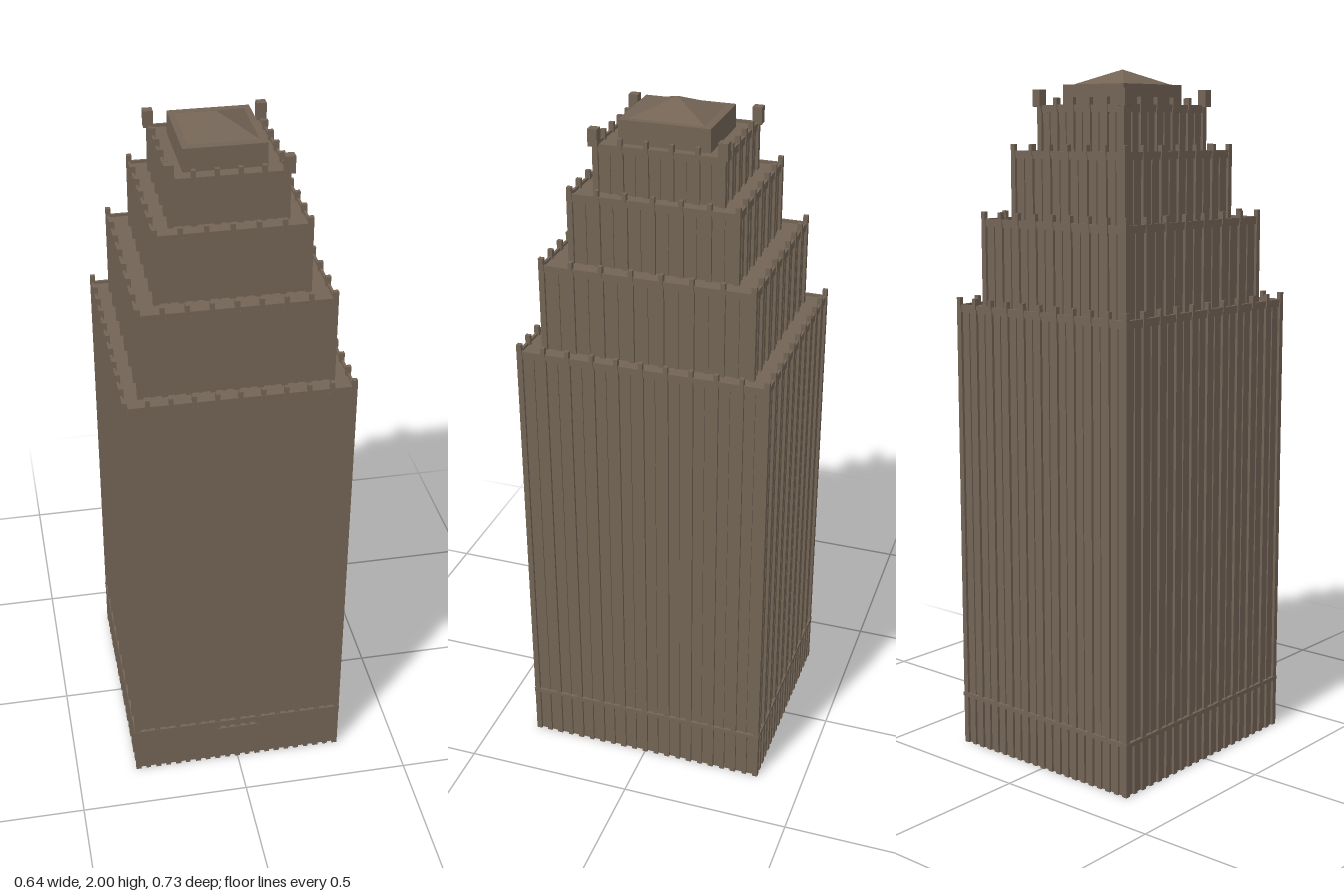
import * as THREE from 'three';

const stone = new THREE.MeshStandardMaterial({ color: 0x736455 });
stone.name = 'brown stone';

export function createModel() {
  const tower = new THREE.Group();
  tower.name = 'steppedTower';

  // box given by its centre in plan and its bottom and top heights
  function block(parent, name, w, d, y0, y1, x = 0, z = 0) {
    const mesh = new THREE.Mesh(new THREE.BoxGeometry(w, y1 - y0, d), stone);
    mesh.position.set(x, (y0 + y1) / 2, z);
    mesh.name = name;
    parent.add(mesh);
  }

  // ribs along all four sides, outer faces flush with hx and hz
  function ribs(parent, name, hx, hz, nx, nz, y0, y1, width, depth, shift = 0) {
    const stepX = (2 * hx - width) / nx, stepZ = (2 * hz - width) / nz;
    for (let i = 0; i <= nx - (shift ? 1 : 0); i++) {
      const x = -hx + width / 2 + (i + shift) * stepX;
      for (const s of [-1, 1]) block(parent, name, width, depth, y0, y1, x, s * (hz - depth / 2));
    }
    for (let i = 0; i <= nz - (shift ? 1 : 0); i++) {
      const z = -hz + width / 2 + (i + shift) * stepZ;
      for (const s of [-1, 1]) block(parent, name, depth, width, y0, y1, s * (hx - depth / 2), z);
    }
  }

  // thin parapet ring around a roof
  function parapet(parent, hx, hz, y0, y1, t = 0.007) {
    for (const s of [-1, 1]) {
      block(parent, 'parapet', 2 * hx, t, y0, y1, 0, s * (hz - t / 2));
      block(parent, 'parapet', t, 2 * (hz - t), y0, y1, s * (hx - t / 2), 0);
    }
  }

  // stacked tiers: half width, half depth, bottom, roof, rib intervals, rib top
  const tiers = [
    ['mainShaft', 0.32, 0.363, 0, 1.335, 10, 10, 1.355],
    ['lowerSetback', 0.271, 0.307, 1.325, 1.58, 8, 7, 1.6],
    ['middleSetback', 0.213, 0.242, 1.57, 1.772, 6, 6, 1.79],
    ['upperSetback', 0.162, 0.185, 1.762, 1.9, 5, 5, 1.92],
  ];
  for (const [name, hx, hz, y0, roof, nx, nz, top] of tiers) {
    const tier = new THREE.Group();
    tier.name = name;
    tower.add(tier);
    const inset = 0.008;
    block(tier, 'wall', 2 * (hx - inset), 2 * (hz - inset), y0, roof - 0.008);
    parapet(tier, hx - 0.003, hz - 0.003, roof - 0.022, roof);
    ribs(tier, 'pilaster', hx, hz, nx, nz, y0, roof - 0.012, 0.016, 0.012);
    ribs(tier, 'pinnacle', hx, hz, nx, nz, roof - 0.012, top, 0.012, 0.014);
    // slim ribs between the pilasters
    ribs(tier, 'mullion', hx - 0.004, hz - 0.004, nx, nz, y0, roof - 0.02, 0.01, 0.007, 0.5);
  }

  // street level: belt course, closer ribs and a shallow entrance
  const street = new THREE.Group();
  street.name = 'streetLevel';
  tower.add(street);
  parapet(street, 0.3215, 0.3645, 0.146, 0.158, 0.014);
  ribs(street, 'streetRib', 0.3195, 0.3625, 10, 10, 0, 0.146, 0.014, 0.01, 0.5);
  block(street, 'entranceLintel', 0.13, 0.01, 0.115, 0.13, 0, 0.361);

  // corner posts of the top terrace
  for (const sx of [-1, 1]) for (const sz of [-1, 1]) {
    block(tower, 'cornerPost', 0.027, 0.027, 1.895, 1.943, sx * 0.158, sz * 0.18);
  }

  // penthouse with pyramid roof
  block(tower, 'penthouse', 0.226, 0.258, 1.885, 1.957);
  const roofGeometry = new THREE.ConeGeometry(Math.SQRT1_2, 0.043, 4, 1)
    .rotateY(Math.PI / 4).scale(0.19, 1, 0.212).toNonIndexed();
  roofGeometry.computeVertexNormals();
  const roofMesh = new THREE.Mesh(roofGeometry, stone);
  roofMesh.position.y = 1.9785;
  roofMesh.name = 'pyramidRoof';
  tower.add(roofMesh);

  return tower;
}
